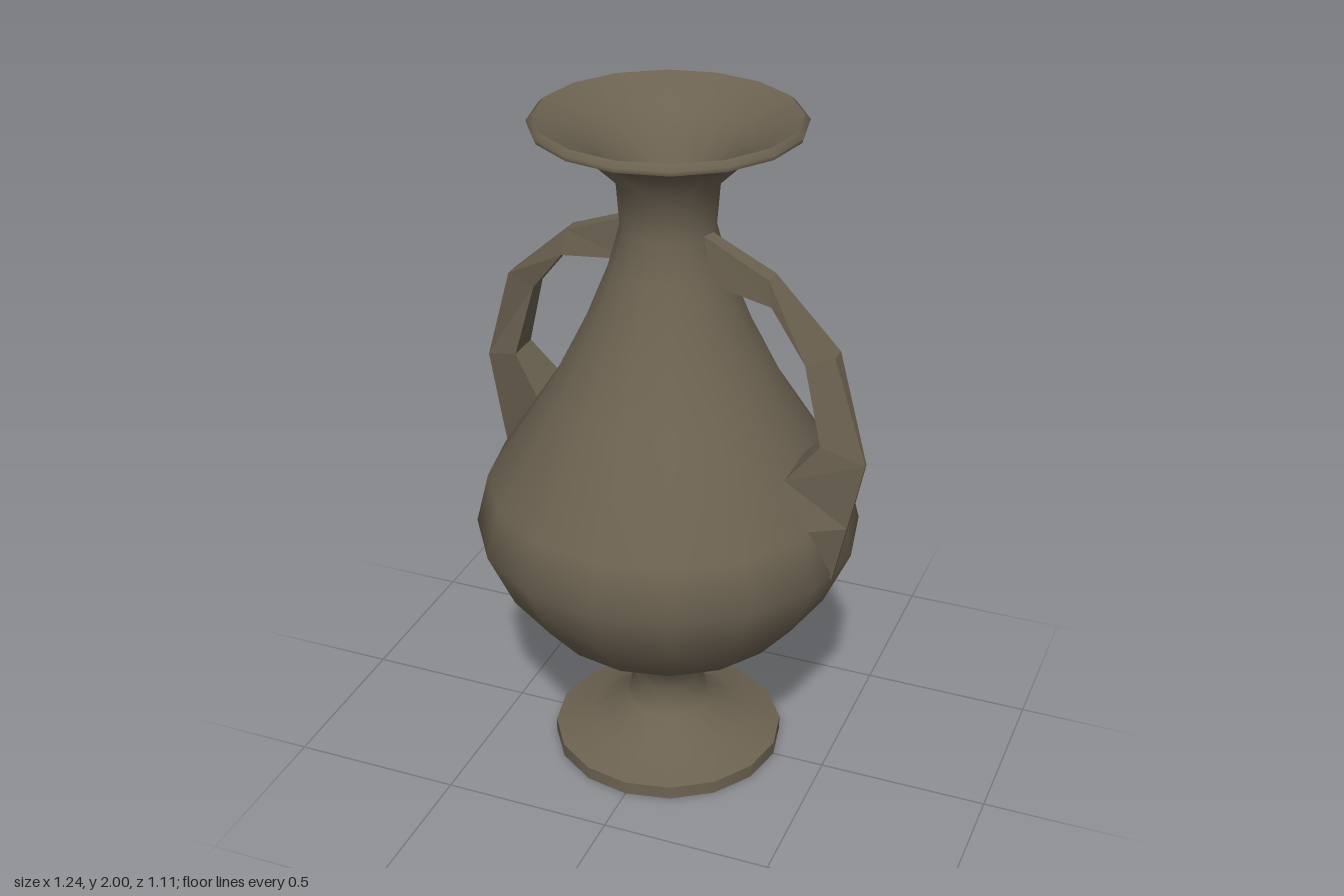
import * as THREE from 'three';

const SIDES = 16;

export function createModel() {
  const model = new THREE.Group();
  model.name = 'vase';
  const clay = new THREE.MeshStandardMaterial({ color: 0x6c6251, side: THREE.DoubleSide });
  clay.name = 'brown clay';

  // Each turned piece is smooth in itself; joints between pieces stay sharp
  function turned(name, profile) {
    const points = profile.map(([r, y]) => new THREE.Vector2(r, y));
    const mesh = new THREE.Mesh(new THREE.LatheGeometry(points, SIDES), clay);
    mesh.name = name;
    model.add(mesh);
  }

  turned('footRim', [[0.344, 0], [0.344, 0.04]]);
  turned('body', [
    [0.344, 0.04], [0.235, 0.075], [0.125, 0.14], [0.106, 0.225], [0.145, 0.325],
    [0.25, 0.38], [0.37, 0.46], [0.48, 0.59], [0.557, 0.76], [0.52, 0.91],
    [0.335, 1.2], [0.23, 1.41], [0.165, 1.57], [0.132, 1.69], [0.142, 1.82],
    [0.24, 1.915], [0.372, 1.972],
  ]);
  turned('lip', [[0.372, 1.972], [0.376, 1.985], [0.36, 2]]);
  turned('mouth', [[0.36, 2], [0.225, 1.935], [0.125, 1.83], [0.1, 1.7], [0, 1.5]]);
  turned('footHollow', [[0, 0.24], [0.09, 0.14], [0.21, 0.06], [0.335, 0.03], [0.344, 0]]);

  // Handle stations from neck to shoulder:
  // outer edge x, y, z from, z to, then inner edge x, y, z from, z to
  const stations = [
    [0.10, 1.70, 0.00, 0.045, 0.12, 1.565, 0.00, 0.06],
    [0.32, 1.61, 0.03, 0.085, 0.33, 1.535, 0.02, 0.09],
    [0.52, 1.43, 0.065, 0.115, 0.44, 1.40, 0.06, 0.125],
    [0.62, 1.13, 0.115, 0.125, 0.50, 1.18, 0.05, 0.155],
    [0.575, 0.92, 0.10, 0.12, 0.41, 1.07, 0.005, 0.18],
    [0.535, 0.74, 0.09, 0.11, 0.44, 0.92, 0.00, 0.20],
  ];
  const rings = stations.map(([ox, oy, oa, ob, ix, iy, ia, ib]) => [
    [ox, oy, oa], [ox, oy, ob], [ix, iy, ib], [ix, iy, ia],
  ]);
  const positions = [];
  for (let i = 0; i < rings.length - 1; i++) {
    for (let k = 0; k < 4; k++) {
      const n = (k + 1) % 4;
      const a = rings[i][k], b = rings[i][n], c = rings[i + 1][n], d = rings[i + 1][k];
      positions.push(...a, ...b, ...c, ...a, ...c, ...d);
    }
  }
  const handleGeometry = new THREE.BufferGeometry();
  handleGeometry.setAttribute('position', new THREE.Float32BufferAttribute(positions, 3));
  handleGeometry.computeVertexNormals();

  // The second handle is the first turned half way round
  ['leftHandle', 'rightHandle'].forEach((name, i) => {
    const handle = new THREE.Mesh(handleGeometry, clay);
    handle.name = name;
    handle.rotation.y = i * Math.PI;
    model.add(handle);
  });

  return model;
}
